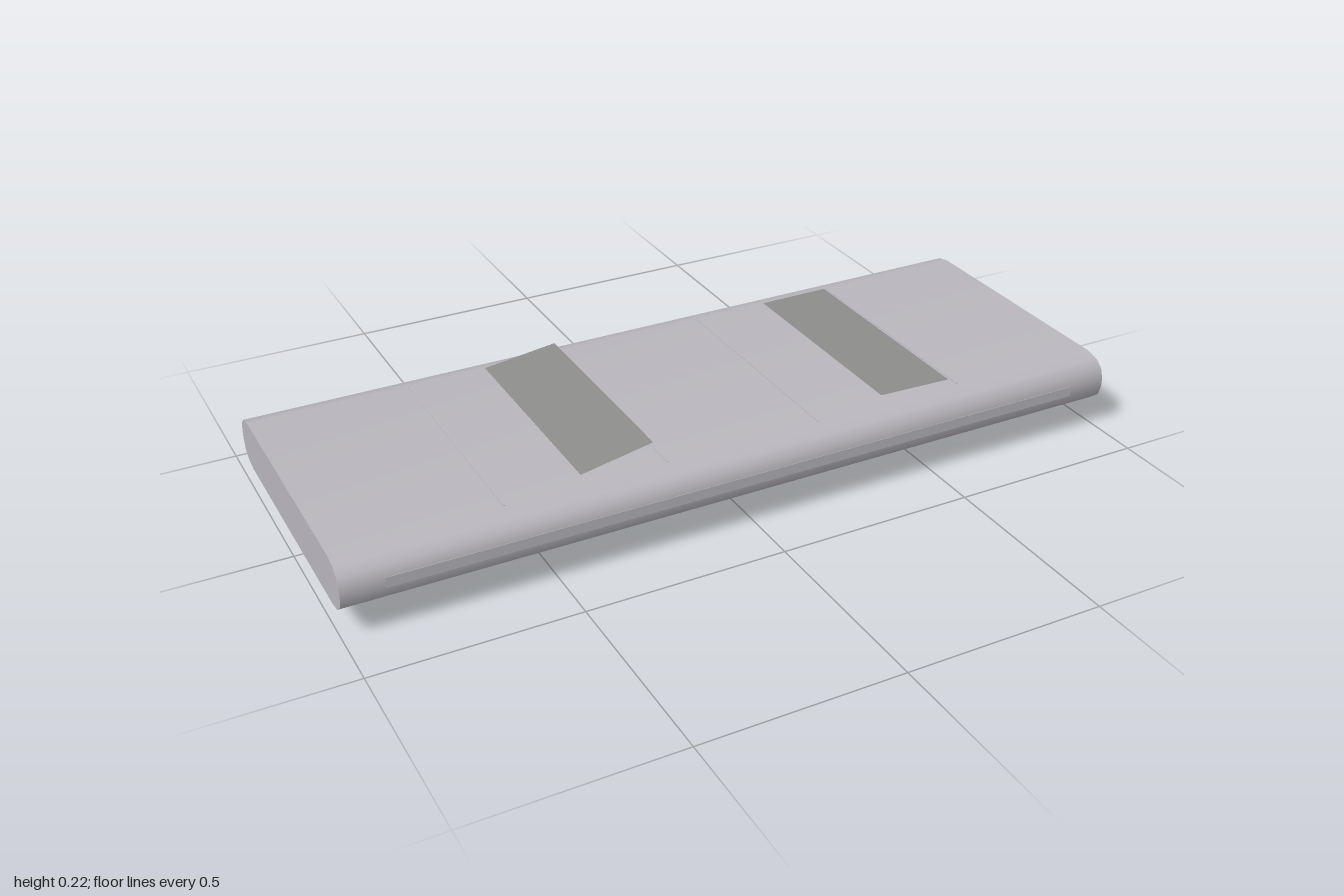
import * as THREE from 'three';
import { toCreasedNormals } from 'three/addons/utils/BufferGeometryUtils.js';

export function createModel() {
  const model = new THREE.Group();
  model.name = 'wingSection';
  const skin = new THREE.MeshStandardMaterial({ color: 0xb9b7bd, name: 'skin grey' });
  const flapGrey = new THREE.MeshStandardMaterial({ color: 0x8c8c8a, name: 'flap grey', side: THREE.DoubleSide });

  const add = (name, geometry, material) => {
    const mesh = new THREE.Mesh(geometry, material);
    mesh.name = name;
    model.add(mesh);
    return mesh;
  };

  // Four-cornered thin sheet
  const sheet = (a, b, c, d) => {
    const g = new THREE.BufferGeometry();
    g.setAttribute('position', new THREE.Float32BufferAttribute([...a, ...b, ...c, ...d], 3));
    g.setIndex([0, 1, 2, 0, 2, 3]);
    g.computeVertexNormals();
    return g;
  };

  // Slab body: rounded cross-section mirrored into four quarters, run along x
  const mid = 0.128;
  const quarter = [[0.375, 0.012], [0.367, 0.037], [0.345, 0.055], [0.31, 0.0625]];
  const back = [...quarter].reverse();
  const outline = [
    ...quarter,
    ...back.map(([z, y]) => [-z, y]),
    ...quarter.map(([z, y]) => [-z, -y]),
    ...back.map(([z, y]) => [z, -y]),
  ].map(([z, y]) => new THREE.Vector2(z, y + mid));
  const slab = new THREE.ExtrudeGeometry(new THREE.Shape(outline), { depth: 2, bevelEnabled: false });
  slab.translate(0, 0, -1).rotateY(Math.PI / 2);
  add('body', toCreasedNormals(slab, 0.7), skin);

  // Top flaps: one raised along its right edge, one lying flush
  add('raisedFlap', sheet(
    [-0.4, 0.193, 0.268], [-0.21, 0.218, 0.253], [-0.21, 0.218, -0.305], [-0.4, 0.193, -0.305]), flapGrey);
  add('flushFlap', sheet(
    [0.4, 0.193, 0.27], [0.59, 0.194, 0.28], [0.59, 0.194, -0.305], [0.4, 0.193, -0.305]), flapGrey);

  // Lower flap swung down toward the back
  add('lowerFlap', sheet(
    [0.61, 0.064, -0.075], [0.61, 0, -0.26], [0.99, 0, -0.26], [0.99, 0.064, -0.075]), flapGrey);

  // Hinge rod under the body
  const rod = new THREE.CylinderGeometry(0.007, 0.007, 1.7, 12);
  rod.rotateZ(Math.PI / 2).translate(0, 0.059, -0.075);
  add('hingeRod', rod, flapGrey);

  // Panel seams across the top
  for (const x of [-0.6, -0.2, 0.2, 0.6]) {
    add('topSeam', new THREE.BoxGeometry(0.004, 0.002, 0.61), skin).position.set(x, 0.191, 0);
  }
  // Short seams underneath
  for (const x of [0, -0.97]) {
    add('lowerSeam', new THREE.BoxGeometry(0.004, 0.002, 0.18), skin).position.set(x, 0.065, -0.17);
  }
  // Raised strip on the front edge
  add('frontStrip', new THREE.BoxGeometry(1.8, 0.026, 0.004), skin).position.set(0, mid, 0.374);

  return model;
}
